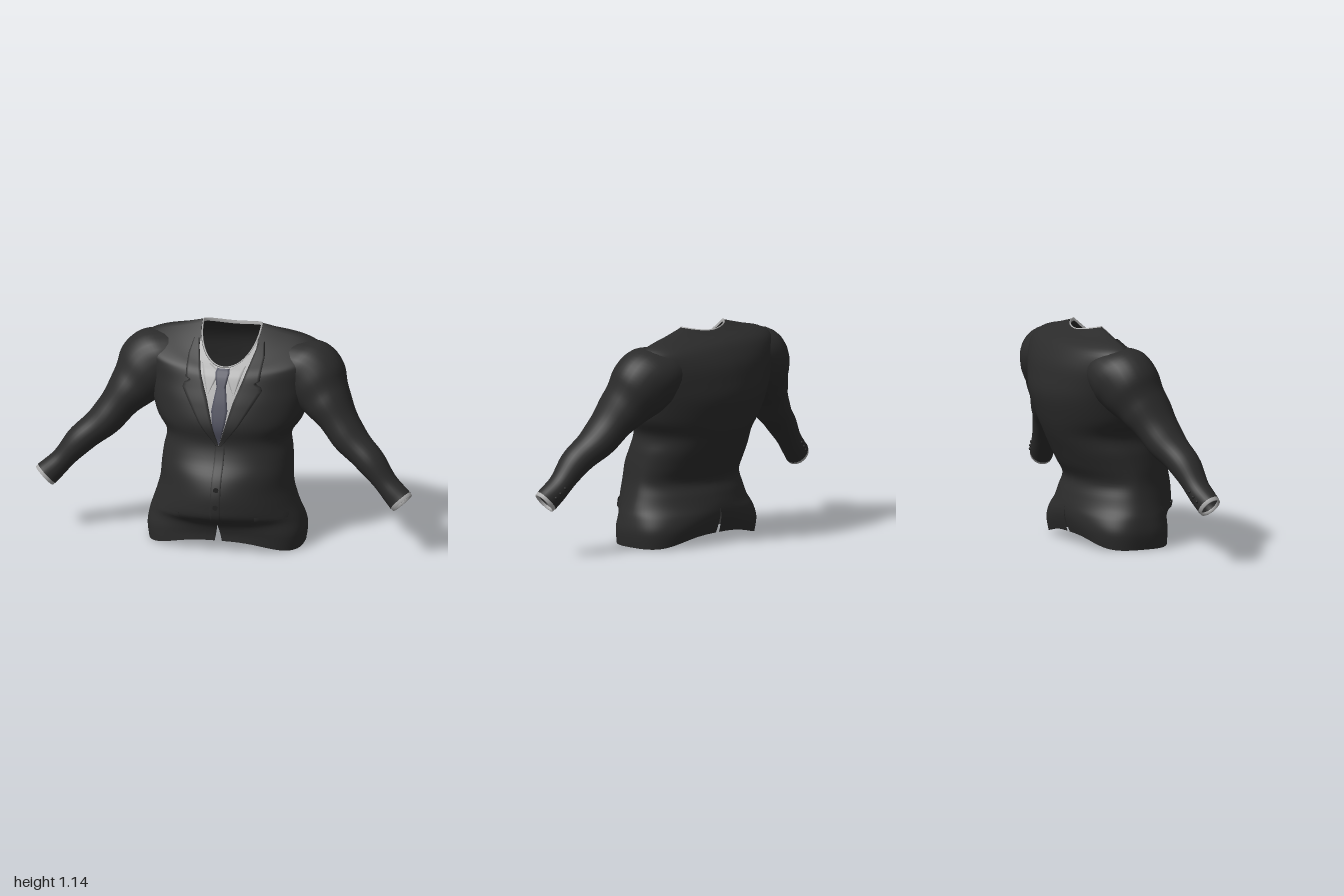
import * as THREE from 'three';

const mat = (name, color) => {
  const m = new THREE.MeshStandardMaterial({ color, side: THREE.DoubleSide });
  m.name = name;
  return m;
};

// Torso cross-sections: y, half width, z of widest point, front z, back z, front drop, roundness
const ROWS = [
  [0.01, 0.405, 0.04, 0.265, -0.19, -0.055, 2.9],
  [0.09, 0.415, 0.04, 0.268, -0.205, -0.02, 2.8],
  [0.16, 0.405, 0.04, 0.29, -0.215, 0, 2.3],
  [0.21, 0.39, 0.04, 0.35, -0.21, 0, 1.9],
  [0.27, 0.37, 0.04, 0.36, -0.19, 0, 1.85],
  [0.34, 0.352, 0.04, 0.354, -0.165, 0, 1.85],
  [0.42, 0.345, 0.03, 0.325, -0.21, 0, 2],
  [0.5, 0.337, 0.01, 0.274, -0.25, 0, 2.2],
  [0.59, 0.325, -0.01, 0.245, -0.295, 0, 2.3],
  [0.68, 0.382, -0.03, 0.255, -0.33, 0, 2.2],
  [0.79, 0.415, -0.05, 0.225, -0.358, 0, 2.2],
  [0.88, 0.44, -0.07, 0.188, -0.352, 0, 2.2],
  [0.97, 0.465, -0.08, 0.165, -0.333, 0.04, 2.2],
  [1.045, 0.468, -0.09, 0.15, -0.29, 0.095, 2.2],
  [1.09, 0.4, -0.09, 0.142, -0.24, 0.13, 2.1],
  [1.12, 0.275, -0.085, 0.137, -0.2, 0.155, 2],
  [1.15, 0.16, -0.08, 0.13, -0.155, 0.18, 2],
];

// Smooth interpolation of a table of rows at t in 0..1
function sample(table, t) {
  const last = table.length - 1;
  const f = Math.min(Math.max(t, 0), 1) * last;
  const i = Math.min(Math.floor(f), last - 1), u = f - i;
  const at = (k) => table[Math.min(Math.max(k, 0), last)];
  return table[i].map((p1, k) => {
    const p0 = at(i - 1)[k], p2 = at(i + 1)[k], p3 = at(i + 2)[k];
    return p1 + 0.5 * u * (p2 - p0 + u * (2 * p0 - 5 * p1 + 4 * p2 - p3 + u * (3 * (p1 - p2) + p3 - p0)));
  });
}

// Point on the torso: angle 0 is the front centre, PI the back centre
function torsoPoint(t, angle) {
  const [y, w, c, f, b, drop, n] = sample(ROWS, t);
  const s = Math.sin(angle), k = Math.cos(angle);
  const round = k < 0 && t > 0.3 ? n - 0.25 * Math.min(1, (t - 0.3) * 5) : n;
  const pw = (v) => Math.pow(Math.abs(v), 2 / round);
  const dip = k < 0 ? 0.025 * k * k * Math.max(0, t - 0.85) / 0.15 : 0;
  const py = y - drop * (drop < 0 ? Math.abs(k) ** 5 : Math.max(0, k)) - dip;
  return new THREE.Vector3(w * pw(s), py, c + pw(k) * (k > 0 ? f - c : b - c));
}

// Point on the front of the torso at x, y, raised by a small offset
function onFront(x, y, lift) {
  let lo = 0, hi = 1, p;
  for (let i = 0; i < 26; i++) {
    const t = (lo + hi) / 2, [, w, , , , , n] = sample(ROWS, t);
    p = torsoPoint(t, Math.asin(Math.min(1, Math.pow(Math.abs(x) / w, n / 2))));
    if (p.y < y) lo = t; else hi = t;
  }
  return new THREE.Vector3(x, y, p.z + lift);
}

// Surface through rows of points
function loft(rows, closed = false) {
  const n = rows[0].length, pos = [], index = [];
  rows.forEach((r) => r.forEach((p) => pos.push(p.x, p.y, p.z)));
  for (let i = 0; i < rows.length - 1; i++) {
    for (let j = 0; j < (closed ? n : n - 1); j++) {
      const a = i * n + j, b = i * n + ((j + 1) % n);
      index.push(a, b, b + n, a, b + n, a + n);
    }
  }
  const g = new THREE.BufferGeometry();
  g.setAttribute('position', new THREE.Float32BufferAttribute(pos, 3));
  g.setIndex(index);
  g.computeVertexNormals();
  return g;
}

const steps = (n, fn) => Array.from({ length: n + 1 }, (_, i) => fn(i / n));

// Piecewise linear lookup in [key, value] pairs
function lookup(pairs, v) {
  for (let i = 1; i < pairs.length; i++) {
    const [a, av] = pairs[i - 1], [b, bv] = pairs[i];
    if (v <= b) return av + (bv - av) * Math.max(0, (v - a) / (b - a));
  }
  return pairs[pairs.length - 1][1];
}

// Thin patch following the chest, between inner(y) and outer(y), with turned-down edges
function patch(y0, y1, inner, outer, lift, base = 0, n = 24) {
  return loft(steps(n, (v) => {
    const y = y0 + (y1 - y0) * v, a = inner(y), b = outer(y);
    const row = steps(6, (u) => onFront(a + (b - a) * u, y, lift));
    return [onFront(a, y, base), ...row, onFront(b, y, base)];
  }));
}

export function createModel() {
  const jacket = mat('charcoal cloth', 0x2b2b2b);
  const shirt = mat('pale shirt', 0xb0b0b0);
  const tie = mat('slate tie', 0x4b4c5a);
  const button = mat('black button', 0x232323);
  const model = new THREE.Group();
  model.name = 'suitJacket';
  const add = (name, geometry, material) => {
    const m = new THREE.Mesh(geometry, material);
    m.name = name;
    model.add(m);
    return m;
  };

  // V opening of the jacket: x for a height, and height for an x
  const vee = [[0.58, 0], [0.7, 0.036], [0.82, 0.07], [0.92, 0.108], [1.06, 0.153], [1.1, 0.165]];
  const veeX = (y) => lookup(vee, y);
  const veeY = (x) => lookup(vee.map(([y, vx]) => [vx, y]), Math.abs(x));

  // Sleeve sections: x, y, z, radius across, radius in depth
  const ARM = [
    [0.22, 0.985, -0.12, 0.08, 0.12],
    [0.33, 0.95, -0.1, 0.137, 0.162],
    [0.415, 0.9, -0.072, 0.18, 0.166],
    [0.485, 0.814, -0.035, 0.148, 0.147],
    [0.555, 0.728, 0.002, 0.108, 0.127],
    [0.65, 0.605, 0.046, 0.088, 0.104],
    [0.765, 0.505, 0.09, 0.075, 0.084],
    [0.865, 0.388, 0.115, 0.06, 0.066],
    [0.937, 0.316, 0.138, 0.069, 0.061],
  ];
  const armRing = (t, side, scale = 1, push = 0) => {
    const [x, y, z, ra, rb] = sample(ARM, t);
    const before = sample(ARM, t - 0.04), after = sample(ARM, t + 0.04);
    const dir = new THREE.Vector3(after[0] - before[0], after[1] - before[1], after[2] - before[2]).normalize();
    const up = new THREE.Vector3(-dir.y, dir.x, 0).normalize();
    const across = new THREE.Vector3().crossVectors(dir, up);
    const fold = 1 + 0.018 * Math.sin(t * 43) * Math.min(1, t * 2);
    return steps(27, (u) => {
      const a = u * Math.PI * 2 * 27 / 28;
      const p = new THREE.Vector3(x, y, z).addScaledVector(dir, push)
        .addScaledVector(up, Math.cos(a) * ra * scale * fold)
        .addScaledVector(across, Math.sin(a) * rb * scale * fold);
      p.x *= side;
      return p;
    });
  };

  for (const side of [1, -1]) {
    const label = side > 0 ? 'left' : 'right';
    const flip = (g) => {
      if (side > 0) return g;
      g.scale(-1, 1, 1);
      g.computeVertexNormals();
      return g;
    };

    // Body half, with a cutaway front and a back vent
    const body = flip(loft(steps(72, (t) => steps(40, (u) => {
      const p = torsoPoint(t, u * Math.PI);
      const gap = u < 0.5 ? 0.02 * (0.16 - p.y) / 0.1 : 0.012 * (0.2 - p.y) / 0.14;
      p.x = Math.max(p.x, gap, 0);
      return p;
    }))));
    const pos = body.attributes.position, nor = body.attributes.normal;
    for (let i = 0; i < pos.count; i++) {
      if (Math.abs(pos.getX(i)) > 1e-5) continue;
      const l = Math.hypot(nor.getY(i), nor.getZ(i)) || 1;
      nor.setXYZ(i, 0, nor.getY(i) / l, nor.getZ(i) / l);
    }
    add(label + 'Body', body, jacket);

    // Sleeve with shirt cuff
    add(label + 'Sleeve', loft(steps(60, (t) => armRing(t, side)), true), jacket);
    add(label + 'ShirtCuff', loft([
      armRing(1, side, 0.98, -0.004), armRing(1, side, 0.96, 0.018),
      armRing(1, side, 0.82, 0.018), armRing(1, side, 0.8, 0.004),
    ], true), shirt);
    add(label + 'CuffLining', loft([armRing(1, side, 0.8, 0.004), armRing(1, side, 0.74, -0.05),
      armRing(1, side, 0.01, -0.07)], true), jacket);

    // Sleeve buttons on the back of the wrist
    for (let i = 0; i < 3; i++) {
      const b = add(label + 'SleeveButton', new THREE.SphereGeometry(0.008, 10, 8), button);
      b.position.copy(armRing(0.88 + i * 0.035, side)[22]);
    }

    // Notched lapel
    const edge = [[0.58, 0.012], [0.7, 0.105], [0.87, 0.21], [0.895, 0.2], [0.905, 0.165],
      [0.92, 0.195], [1.02, 0.2], [1.08, 0.185]];
    add(label + 'Lapel', flip(patch(0.58, 1.08, veeX, (y) => lookup(edge, y), 0.014, 0, 50)), jacket);

    // Shirt collar wing
    add(label + 'CollarWing', flip(patch(0.85, 0.985,
      (y) => lookup([[0.85, 0.066], [0.955, 0.015], [0.985, 0.075]], y),
      (y) => lookup([[0.85, 0.07], [0.985, 0.115]], y), 0.016, 0.004)), shirt);

    // Hip pocket flap
    add(label + 'PocketFlap', flip(patch(0.195, 0.222, () => 0.2, () => 0.35, 0.01, 0, 6)), jacket);
  }

  // Shirt front, from the V up to the neckline
  add('shirtFront', loft(steps(40, (u) => {
    const x = -0.15 + 0.3 * u;
    const top = torsoPoint(1, Math.asin(Math.abs(x) / 0.16)).y;
    return steps(14, (v) => onFront(x, veeY(x) + (top - veeY(x)) * v, 0.007));
  })), shirt);

  // Shirt collar band lining the neck
  const neck = (scale, dy) => steps(47, (u) => {
    const a = u * Math.PI * 2 * 47 / 48;
    const p = torsoPoint(1, Math.acos(Math.cos(a)));
    return new THREE.Vector3(Math.sign(Math.sin(a)) * p.x * scale, p.y + dy, -0.03 + (p.z + 0.03) * scale);
  });
  add('collarBand', loft([neck(0.995, -0.002), neck(0.98, 0.005), neck(0.945, 0.002), neck(0.95, -0.012)], true), shirt);

  // Tie blade and knot
  const half = (pairs) => (y) => lookup(pairs, y);
  const blade = half([[0.59, 0.002], [0.7, 0.033], [0.77, 0.042], [0.9, 0.022]]);
  const knot = half([[0.885, 0.022], [0.955, 0.038], [0.972, 0.03]]);
  add('tieBlade', patch(0.59, 0.9, (y) => -blade(y), blade, 0.016, 0.006), tie);
  add('tieKnot', patch(0.885, 0.972, (y) => -knot(y), knot, 0.022, 0.006), tie);

  // Overlapping front edge and its buttons
  add('frontEdge', patch(0.17, 0.58, (y) => -0.02 - 0.01 * (0.6 - y), () => 0.03, 0.004), jacket);
  for (const y of [0.37, 0.28]) {
    const b = add('frontButton', new THREE.CylinderGeometry(0.014, 0.014, 0.006, 16), button);
    b.rotation.x = Math.PI / 2;
    b.position.copy(onFront(0.005, y, 0.004));
  }
  return model;
}
